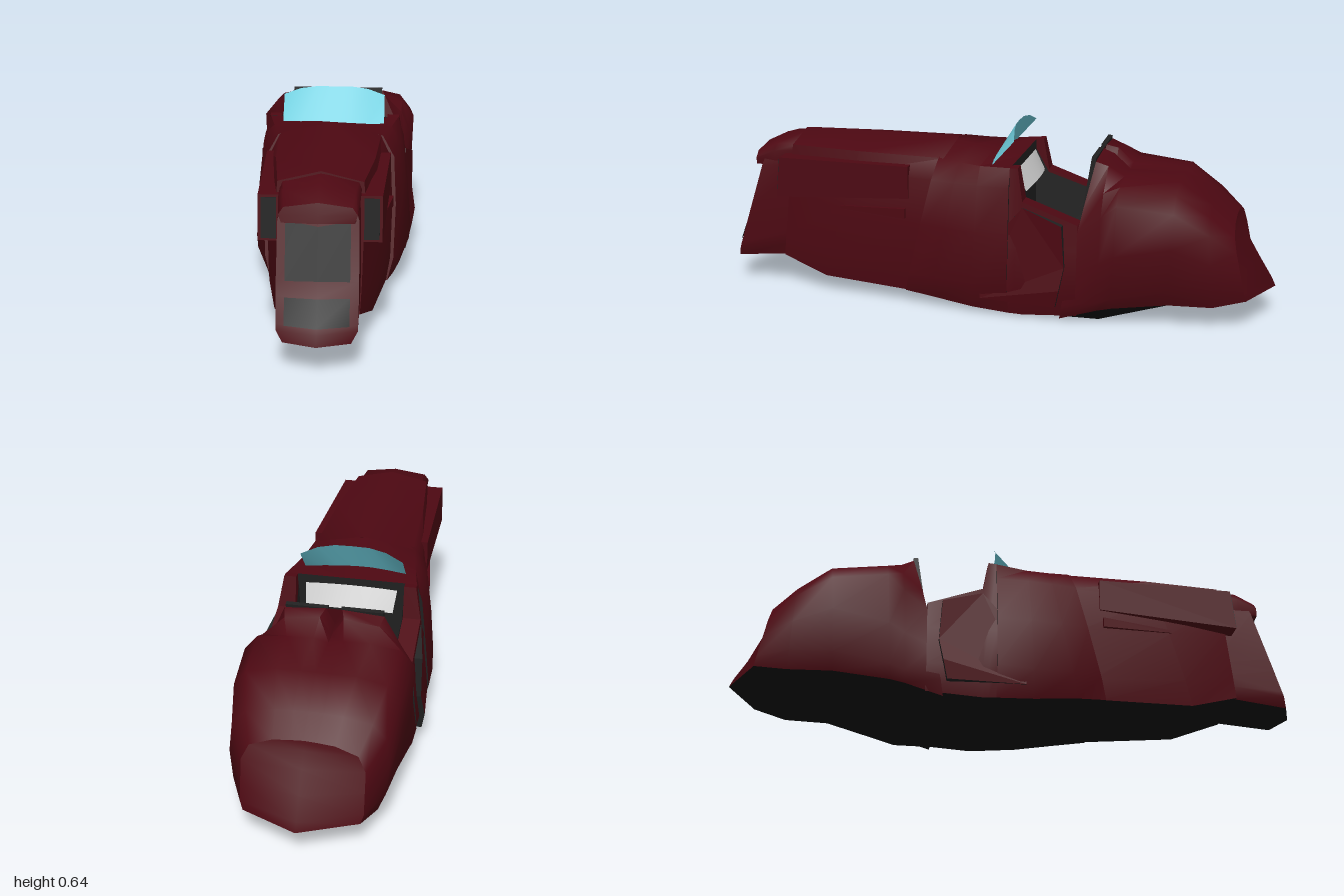
import * as THREE from 'three';
import { toCreasedNormals } from 'three/addons/utils/BufferGeometryUtils.js';

const mat = (color) => new THREE.MeshStandardMaterial({ color, side: THREE.DoubleSide });
const red = mat(0x4d0812), dark = mat(0x202020), black = mat(0x111111);
const glass = mat(0x70d0e0), grey = mat(0xcccccc);

function surface(verts, index) {
  const g = new THREE.BufferGeometry();
  g.setAttribute('position', new THREE.Float32BufferAttribute(verts.flat(), 3));
  g.setIndex(index);
  return toCreasedNormals(g, 1);
}

function add(parent, name, geometry, material) {
  const m = new THREE.Mesh(geometry, material);
  m.name = name;
  parent.add(m);
  return m;
}

// Quads between rows of equal length
function grid(rows, flip = false) {
  const n = rows[0].length, index = [];
  for (let s = 0; s + 1 < rows.length; s++)
    for (let i = 0; i + 1 < n; i++) {
      const a = s * n + i, b = a + 1, d = a + n, c = d + 1;
      index.push(...(flip ? [a, c, d, a, b, c] : [a, d, c, a, c, b]));
    }
  return surface(rows.flat(), index);
}

// A station is a half outline from lower edge to top centre; z leans from zb (bottom) to zt (top).
// Its belly is the half width and height of the flat part underneath.
const station = (zt, zb, pts, belly = pts[0]) => ({ zt, zb, pts, belly });
const height = (s, y) => (y - s.pts[0][1]) / (s.pts.at(-1)[1] - s.pts[0][1]);
const leanZ = (s, y) => THREE.MathUtils.lerp(s.zb, s.zt, height(s, y));
function ring(s) {
  const half = s.pts.map(([x, y]) => [x, y, leanZ(s, y)]);
  return [...half, ...half.slice(0, -1).reverse().map(([x, y, z]) => [-x, y, z])];
}
function underRow(s) {
  const [[x, y], [bx, by]] = [s.pts[0], s.belly];
  return [[-x, y, s.zb], [-bx, by, s.zb], [bx, by, s.zb], [x, y, s.zb]];
}
function loft(parent, name, stations, material, under) {
  add(parent, name, grid(stations.map(ring)), material);
  if (under) add(parent, name + 'Underside', grid(stations.map(underRow)), under);
}
// End face with a keel line standing out by bow, fading toward the top
const bowAt = (s, y, bow, fade) => bow * Math.max(0, 1 - fade * height(s, y));
function endCap(parent, name, s, front, material, bow = 0, fade = 1) {
  const w = Math.max(...s.pts.map((p) => p[0]));
  const rows = s.pts.map(([x, y]) => {
    const z = leanZ(s, y);
    return [[-x, y, z], [0, y, z + bowAt(s, y, bow, fade) * x / w], [x, y, z]];
  });
  add(parent, name, grid(rows, front), material);
  if (bow) add(parent, name + 'Sill', surface(rows[0], front ? [0, 1, 2] : [2, 1, 0]), black);
}

// Side profile of [z, y] points, given thickness from x0 to x1
function slab(profile, x0, x1) {
  const shape = new THREE.Shape(profile.map((p) => new THREE.Vector2(...p)));
  return new THREE.ExtrudeGeometry(shape, { depth: x1 - x0, bevelEnabled: false })
    .rotateY(-Math.PI / 2).translate(x1, 0, 0);
}
// Move vertices by a rule
function warp(g, rule) {
  const p = g.attributes.position, v = new THREE.Vector3();
  for (let i = 0; i < p.count; i++) {
    rule(v.fromBufferAttribute(p, i));
    p.setXYZ(i, v.x, v.y, v.z);
  }
  g.computeVertexNormals();
  return g;
}

export function createModel() {
  const car = new THREE.Group();
  car.name = 'vintageCarBody';

  // Narrow upright nose, keeled toward the bottom
  const noseFront = station(0.825, 0.955, [[0.105, 0.095], [0.125, 0.13], [0.126, 0.148], [0.127, 0.228], [0.127, 0.275], [0.125, 0.45], [0.11, 0.5], [0, 0.51]]);
  loft(car, 'nose', [noseFront,
    station(0.7, 0.76, [[0.115, 0.115], [0.125, 0.16], [0.126, 0.2], [0.127, 0.25], [0.127, 0.3], [0.127, 0.46], [0.12, 0.51], [0, 0.53]])], red, black);
  endCap(car, 'noseFace', noseFront, true, red, 0.045, 2.2);

  // Smooth nose top ending in a lip over the grille
  const browFront = station(0.862, 0.87, [[0.112, 0.45], [0.121, 0.475], [0.105, 0.498], [0, 0.512]]);
  loft(car, 'noseBrow', [browFront,
    station(0.79, 0.8, [[0.122, 0.45], [0.127, 0.505], [0.113, 0.53], [0, 0.547]]),
    station(0.7, 0.7, [[0.125, 0.45], [0.128, 0.515], [0.12, 0.535], [0, 0.562]])], red, red);
  endCap(car, 'noseBrowFace', browFront, true, red, 0.01);

  // Two dark grilles following the nose face
  for (const [name, y0, y1, dip] of [['upperGrille', 0.275, 0.45, 0.017], ['lowerGrille', 0.148, 0.228, 0]]) {
    const row = (y, drop) => [-0.1, 0, 0.1].map((x) => {
      const yy = x ? y : y - drop;
      return [x, yy, leanZ(noseFront, yy) + bowAt(noseFront, yy, 0.045, 2.2) * (1 - Math.abs(x) / 0.127) + 0.006];
    });
    add(car, name, grid([row(y0, 0), row(y1, dip)], true), dark);
  }

  // Tapered hood
  const hoodFront = station(0.715, 0.77, [[0.125, 0.115], [0.13, 0.2], [0.135, 0.36], [0.142, 0.46], [0.135, 0.535], [0, 0.567]]);
  loft(car, 'hood', [hoodFront,
    station(0.45, 0.6, [[0.16, 0.06], [0.178, 0.15], [0.18, 0.32], [0.177, 0.46], [0.162, 0.533], [0, 0.567]]),
    station(0.14, 0.265, [[0.2, 0.045], [0.213, 0.12], [0.218, 0.3], [0.21, 0.46], [0.175, 0.53], [0, 0.567]])], red, black);
  endCap(car, 'hoodFace', hoodFront, true, red);

  // Cowl flaring from hood to cockpit, overlapping the hood's rear edge
  const cowlFront = station(0.16, 0.285, [[0.202, 0.045], [0.222, 0.12], [0.228, 0.3], [0.22, 0.46], [0.18, 0.53], [0, 0.556]]);
  const cowlRear = station(-0.1, -0.1, [[0.25, 0.01], [0.28, 0.12], [0.265, 0.3], [0.25, 0.46], [0.23, 0.525], [0, 0.515]]);
  loft(car, 'cowl', [cowlFront,
    station(0.08, 0.18, [[0.222, 0.036], [0.256, 0.115], [0.25, 0.3], [0.235, 0.46], [0.193, 0.524], [0, 0.543]]),
    station(0.01, 0.03, [[0.24, 0.018], [0.274, 0.11], [0.264, 0.3], [0.246, 0.46], [0.208, 0.52], [0, 0.53]]),
    cowlRear], red, black);
  endCap(car, 'cowlFace', cowlFront, true, red);
  endCap(car, 'firewall', cowlRear, false, dark);

  // Cockpit tub with a red rim and dark lining; the rim drops sharply behind the cowl
  const tub = (z, low, rim, out) => station(z, z, [[0.25, low], [0.276, 0.11], [0.263, 0.25], [out, rim], [0.19, rim], [0.185, 0.2], [0, 0.2]], [0.22, low * 0.8]);
  loft(car, 'cockpitTub', [tub(-0.1, 0.01, 0.525, 0.232), tub(-0.128, 0.009, 0.527, 0.232),
    tub(-0.148, 0.008, 0.415, 0.252), tub(-0.34, 0.02, 0.345, 0.255)], red, black);
  const lining = (z, rim) => station(z, z, [[0.187, rim - 0.01], [0.178, 0.21], [0, 0.21]]);
  loft(car, 'cockpitLining', [lining(-0.101, 0.5), lining(-0.148, 0.415), lining(-0.36, 0.345)], dark);

  // Tail: twin headrest humps flowing into a rounded, keeled end
  const tailFront = station(-0.375, -0.28, [[0.25, 0.005], [0.268, 0.06], [0.258, 0.18], [0.258, 0.32], [0.235, 0.4], [0.168, 0.55], [0.028, 0.562], [0, 0.5]], [0.21, 0]);
  const tailEnd = station(-0.855, -0.91, [[0.19, 0.1], [0.2, 0.13], [0.2, 0.2], [0.2, 0.27], [0.175, 0.32], [0.1, 0.345], [0.04, 0.35], [0, 0.352]]);
  loft(car, 'tail', [tailFront,
    station(-0.425, -0.41, [[0.25, 0.045], [0.272, 0.08], [0.268, 0.22], [0.272, 0.38], [0.238, 0.46], [0.16, 0.535], [0.04, 0.55], [0, 0.485]], [0.21, 0]),
    station(-0.48, -0.46, [[0.248, 0.056], [0.272, 0.1], [0.278, 0.25], [0.285, 0.43], [0.24, 0.485], [0.14, 0.498], [0.05, 0.498], [0, 0.487]], [0.21, 0.015]),
    station(-0.67, -0.65, [[0.235, 0.08], [0.262, 0.14], [0.278, 0.29], [0.272, 0.41], [0.23, 0.465], [0.13, 0.487], [0.05, 0.488], [0, 0.488]], [0.2, 0.08]),
    station(-0.78, -0.8, [[0.225, 0.08], [0.25, 0.14], [0.26, 0.24], [0.25, 0.34], [0.205, 0.39], [0.11, 0.408], [0.05, 0.412], [0, 0.412]]),
    tailEnd], red, black);
  endCap(car, 'tailFace', tailFront, true, red);
  endCap(car, 'tailKeel', tailEnd, false, red, -0.09, 1.1);

  for (const s of [1, -1]) {
    const side = s > 0 ? 'left' : 'right';
    const place = (geo, x0, x1) => slab(geo, Math.min(s * x0, s * x1), Math.max(s * x0, s * x1));

    // Seat back
    add(car, side + 'SeatBack', place([[-0.31, 0.21], [-0.335, 0.345], [-0.37, 0.565], [-0.385, 0.562], [-0.34, 0.21]], 0.022, 0.165), dark);

    // Door skin flaring at its lower rear, with dark edges; its front sinks into the cowl
    const door = warp(place([[0, 0.06], [0, 0.12], [0, 0.22], [-0.15, 0.395], [-0.29, 0.345], [-0.3, 0.2], [-0.285, 0.12], [-0.27, 0.055]], 0.25, 0.295), (v) => {
      if (Math.abs(v.x) < 0.26) return;
      if (v.z > -0.01) v.x = s * 0.262;
      else if (v.y > 0.36) v.x = s * 0.256;
      else if (v.y > 0.16 || v.y < 0.1) v.x = s * 0.283;
    });
    add(car, side + 'Door', door, [red, dark]);

    // Lamp housing tapering back into the hood, with a dark lens
    const housing = warp(new THREE.BoxGeometry(2, 2, 2), (v) => {
      const front = v.z > 0, outer = v.x > 0, top = v.y > 0;
      v.set(s * (front ? (outer ? 0.194 : 0.125) : (outer ? 0.21 : 0.15)),
        top ? 0.5 : (front ? 0.355 : 0.385), front ? (top ? 0.75 : 0.765) : 0.27);
    });
    housing.setIndex(s > 0 ? housing.index : [...housing.index.array].reverse());
    add(car, side + 'LampHousing', toCreasedNormals(housing, 0.3), red);
    const lens = add(car, side + 'LampLens', new THREE.BoxGeometry(0.048, 0.13, 0.012), dark);
    lens.position.set(s * 0.161, 0.427, 0.756);
    lens.rotation.x = -0.1;

    // Low raised strip following the hood side
    const strip = warp(place([[0.53, 0.325], [0.53, 0.335], [0.28, 0.35], [0.28, 0.315]], 0.16, 0.221), (v) => {
      if (v.z > 0.4 && Math.abs(v.x) > 0.2) v.x = s * 0.183;
    });
    add(car, side + 'HoodStrip', strip, red);
  }

  // Curved windshield and pale instrument strip
  const xs = [-0.18, -0.12, -0.06, 0, 0.06, 0.12, 0.18];
  const bend = (x) => (x / 0.18) ** 2;
  add(car, 'windshield', grid([
    xs.map((x) => [x, 0.518, -0.005 - 0.02 * bend(x)]),
    xs.map((x) => [x, Math.abs(x) < 0.1 ? 0.64 : Math.abs(x) < 0.15 ? 0.63 : 0.605, -0.08 - 0.022 * bend(x)]),
  ], true), glass);
  add(car, 'instrumentPanel', grid([
    xs.map((x) => [x * 0.9, 0.505 - 0.01 * bend(x), -0.112 + 0.009 * bend(x)]),
    xs.map((x) => [x * 0.85, 0.435 - 0.01 * bend(x), -0.155 + 0.015 * bend(x)]),
  ]), grey);

  return car;
}
